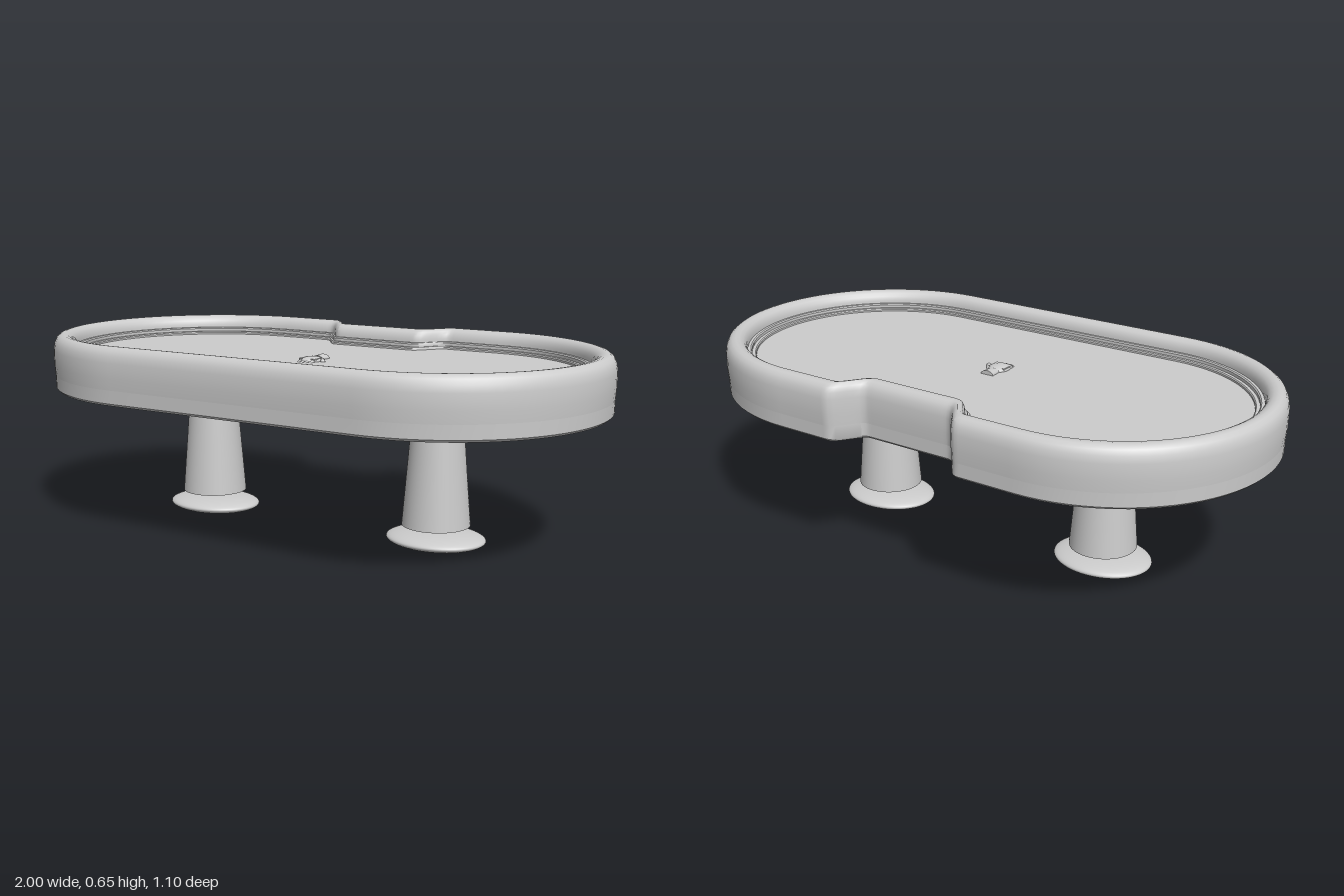
import * as THREE from 'three';
import { toCreasedNormals } from 'three/addons/utils/BufferGeometryUtils.js';

const material = new THREE.MeshStandardMaterial({ color: 0xcccccc });
const sheetMaterial = new THREE.MeshStandardMaterial({ color: 0xcccccc, side: THREE.DoubleSide });

const HALF = 0.45; // half length of the straight sides
const RADIUS = 0.548; // radius of the rounded ends

// Depth of the dealer's cut-out on the back edge
function notch(x) {
  return 0.092 * (1 - THREE.MathUtils.smoothstep(Math.abs(x), 0.155, 0.25));
}

// Table outline, inset by d: [x, z] points running right, front, left, back
function outline(d) {
  const points = [];
  const r = RADIUS - d;
  const arc = 40;
  for (const side of [1, -1]) {
    for (let i = 0; i <= arc; i++) {
      const a = (i / arc - 0.5) * Math.PI;
      points.push([side * (HALF + r * Math.cos(a)), side * r * Math.sin(a)]);
    }
    const steps = side > 0 ? 8 : 72;
    for (let i = 1; i < steps; i++) {
      const x = side * HALF * (1 - (2 * i) / steps);
      points.push([x, side > 0 ? r : -r + notch(x)]);
    }
  }
  return points;
}

// Sweeps a closed [inset, height] profile around the outline
function sweepRing(profile, crease = 0.6) {
  const rings = profile.map(([d]) => outline(d));
  const n = rings[0].length;
  const m = profile.length;
  const positions = [];
  const index = [];
  for (let j = 0; j < m; j++) {
    for (const [x, z] of rings[j]) positions.push(x, profile[j][1], z);
  }
  for (let j = 0; j < m; j++) {
    for (let i = 0; i < n; i++) {
      const k = (i + 1) % n;
      const up = ((j + 1) % m) * n;
      index.push(j * n + i, up + i, j * n + k, up + i, up + k, j * n + k);
    }
  }
  const geometry = new THREE.BufferGeometry();
  geometry.setAttribute('position', new THREE.Float32BufferAttribute(positions, 3));
  geometry.setIndex(index);
  return toCreasedNormals(geometry, crease);
}

function addMesh(parent, name, geometry, mat = material) {
  const mesh = new THREE.Mesh(geometry, mat);
  mesh.name = name;
  parent.add(mesh);
  return mesh;
}

// Small open hand resting in the middle of the playing surface
function createHand() {
  const hand = new THREE.Group();
  hand.name = 'hand';
  const cuff = addMesh(hand, 'cuff', new THREE.CylinderGeometry(0.021, 0.024, 0.04, 20));
  cuff.rotation.x = Math.PI / 2;
  cuff.scale.z = 0.55;
  cuff.position.set(-0.003, 0, -0.01);

  const palm = addMesh(hand, 'palm', new THREE.SphereGeometry(1, 24, 16));
  palm.scale.set(0.036, 0.014, 0.043);
  palm.position.set(-0.002, 0, 0.045);
  const back = addMesh(hand, 'knuckles', new THREE.BoxGeometry(0.062, 0.018, 0.05));
  back.position.set(-0.003, 0, 0.05);

  for (let i = 0; i < 4; i++) {
    const length = [0.024, 0.032, 0.03, 0.018][i];
    const finger = addMesh(hand, 'finger', new THREE.CapsuleGeometry(0.007, length, 6, 12));
    finger.rotation.x = Math.PI / 2 + 0.25;
    finger.position.set(0.02 - i * 0.0155, -0.003, 0.07 + length / 2);
  }
  const thumb = addMesh(hand, 'thumb', new THREE.CapsuleGeometry(0.008, 0.032, 6, 12));
  thumb.rotation.set(Math.PI / 2, 0, -0.6);
  thumb.position.set(0.036, 0, 0.038);
  hand.position.y = 0.583;
  return hand;
}

export function createModel() {
  const table = new THREE.Group();
  table.name = 'cardTable';

  // Padded armrest
  addMesh(table, 'paddedRail', sweepRing([
    [0.003, 0.512], [0, 0.55], [0, 0.6], [0.004, 0.622], [0.012, 0.638], [0.024, 0.647],
    [0.036, 0.65], [0.05, 0.648], [0.062, 0.641], [0.07, 0.63], [0.074, 0.615],
    [0.076, 0.575], [0.056, 0.512],
  ]));

  // Stepped trim between rail and playing surface
  addMesh(table, 'innerTrim', sweepRing([
    [0.07, 0.575], [0.07, 0.606], [0.084, 0.606], [0.088, 0.602], [0.088, 0.592],
    [0.099, 0.592], [0.102, 0.588], [0.102, 0.575],
  ]));

  // Lower skirt under the rail
  addMesh(table, 'apron', sweepRing([
    [0.012, 0.46], [0.004, 0.468], [0.003, 0.512], [0.056, 0.512], [0.056, 0.468], [0.048, 0.46],
  ]));

  // Thin playing surface
  const shape = new THREE.Shape(outline(0.096).map(([x, z]) => new THREE.Vector2(x, -z)));
  const surface = addMesh(table, 'playingSurface', new THREE.ShapeGeometry(shape), sheetMaterial);
  surface.rotation.x = -Math.PI / 2;
  surface.position.y = 0.582;

  table.add(createHand());

  // Tapered legs with oval feet
  for (const side of [1, -1]) {
    const leg = addMesh(table, 'leg', new THREE.CylinderGeometry(0.08, 0.112, 0.388, 48));
    leg.position.set(side * 0.446, 0.27, 0);
    const foot = addMesh(table, 'foot', new THREE.SphereGeometry(1, 48, 24));
    foot.scale.set(0.168, 0.029, 0.138);
    foot.position.set(side * 0.446, 0.03, 0);
  }
  return table;
}
